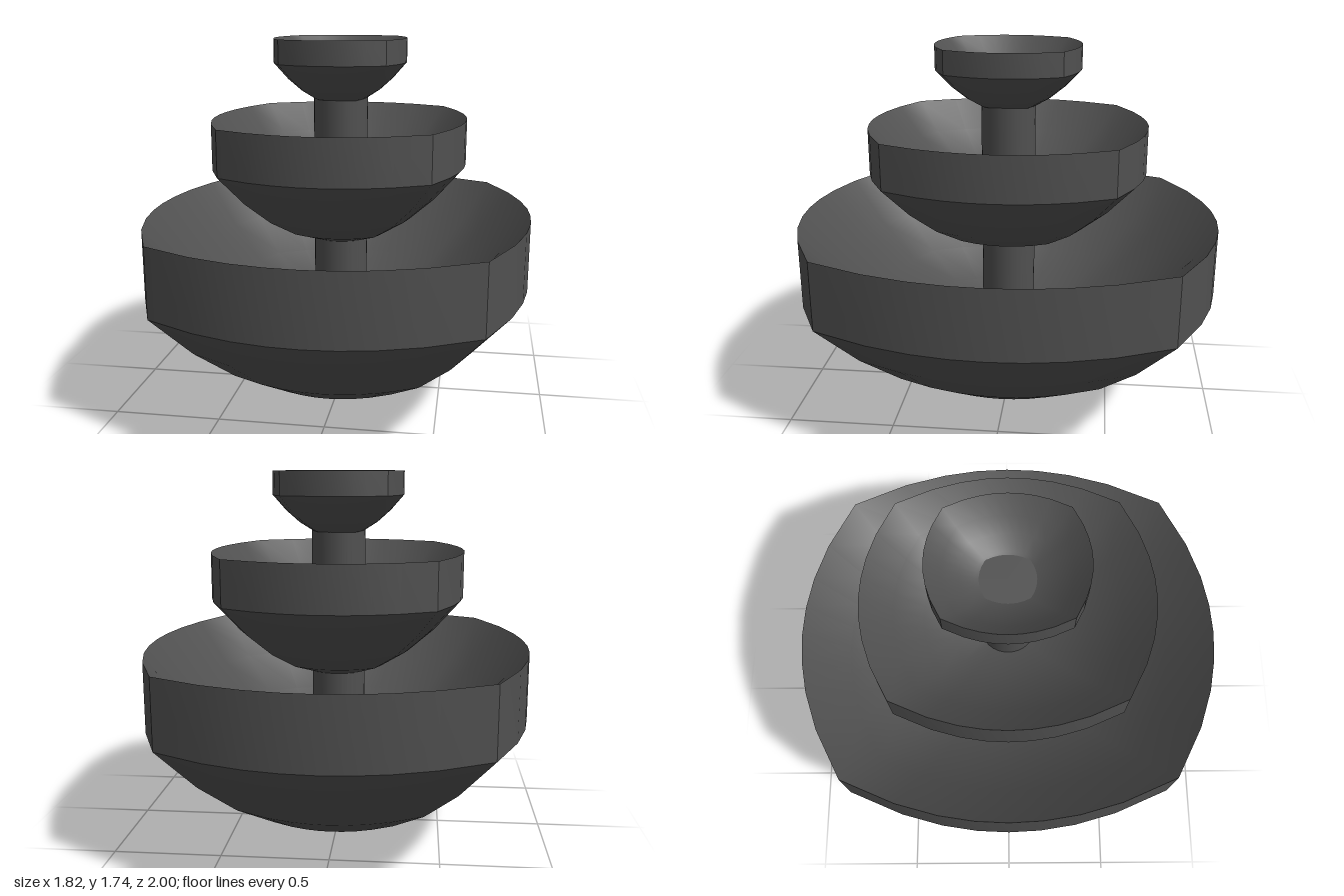
import * as THREE from 'three';
import { toCreasedNormals } from 'three/addons/utils/BufferGeometryUtils.js';

const DEPTH = 0.585; // depth of the curved underside at full size
const WALL = 0.325;  // height of the upright rim at full size

// Bends a circular plan into four bowed sides meeting at corners
function bowPlan(geometry) {
  const p = geometry.attributes.position;
  for (let i = 0; i < p.count; i++) {
    const x = p.getX(i), z = p.getZ(i);
    const r = Math.hypot(x, z);
    if (r === 0) continue;
    const ax = Math.abs(x), az = Math.abs(z);
    const u = Math.min(ax, az) / Math.max(ax, az);
    const nx = ax >= az ? 0.91 - 0.2 * u * u : 0.71 * u;
    const nz = ax >= az ? 0.78 * u : 1 - 0.22 * u * u;
    p.setXYZ(i, Math.sign(x) * nx * r, p.getY(i), Math.sign(z) * nz * r);
  }
  return geometry;
}

// Dish: parabolic underside, upright rim, matching parabolic hollow
function createBowl(name, size, topY, material) {
  const profile = [];
  const rings = 5;
  for (let i = 0; i <= rings; i++) {
    const t = i / rings;
    profile.push(new THREE.Vector2(t, DEPTH * t * t));
  }
  for (let i = rings; i >= 0; i--) {
    const t = i / rings;
    profile.push(new THREE.Vector2(t, WALL + DEPTH * t * t));
  }
  const geometry = bowPlan(new THREE.LatheGeometry(profile, 32));
  geometry.deleteAttribute('uv');
  geometry.deleteAttribute('normal');
  geometry.scale(size, size, size);
  const bowl = new THREE.Mesh(toCreasedNormals(geometry, 0.52), material);
  bowl.name = name;
  bowl.position.y = topY - size * (DEPTH + WALL);
  return bowl;
}

export function createModel() {
  const group = new THREE.Group();
  group.name = 'tieredFountain';
  const material = new THREE.MeshStandardMaterial({ color: 0x505050 });

  // Three bowls, each smaller than the one below
  group.add(
    createBowl('lowerBowl', 1, 0.91, material),
    createBowl('middleBowl', 0.655, 1.365, material),
    createBowl('upperBowl', 0.34, 1.735, material)
  );

  // Central column, ending just above the floor of the upper bowl
  const bottom = 0.2, top = 1.563;
  const column = new THREE.Mesh(
    new THREE.CylinderGeometry(0.128, 0.128, top - bottom, 32), material);
  column.name = 'column';
  column.position.y = (bottom + top) / 2;
  group.add(column);

  return group;
}
